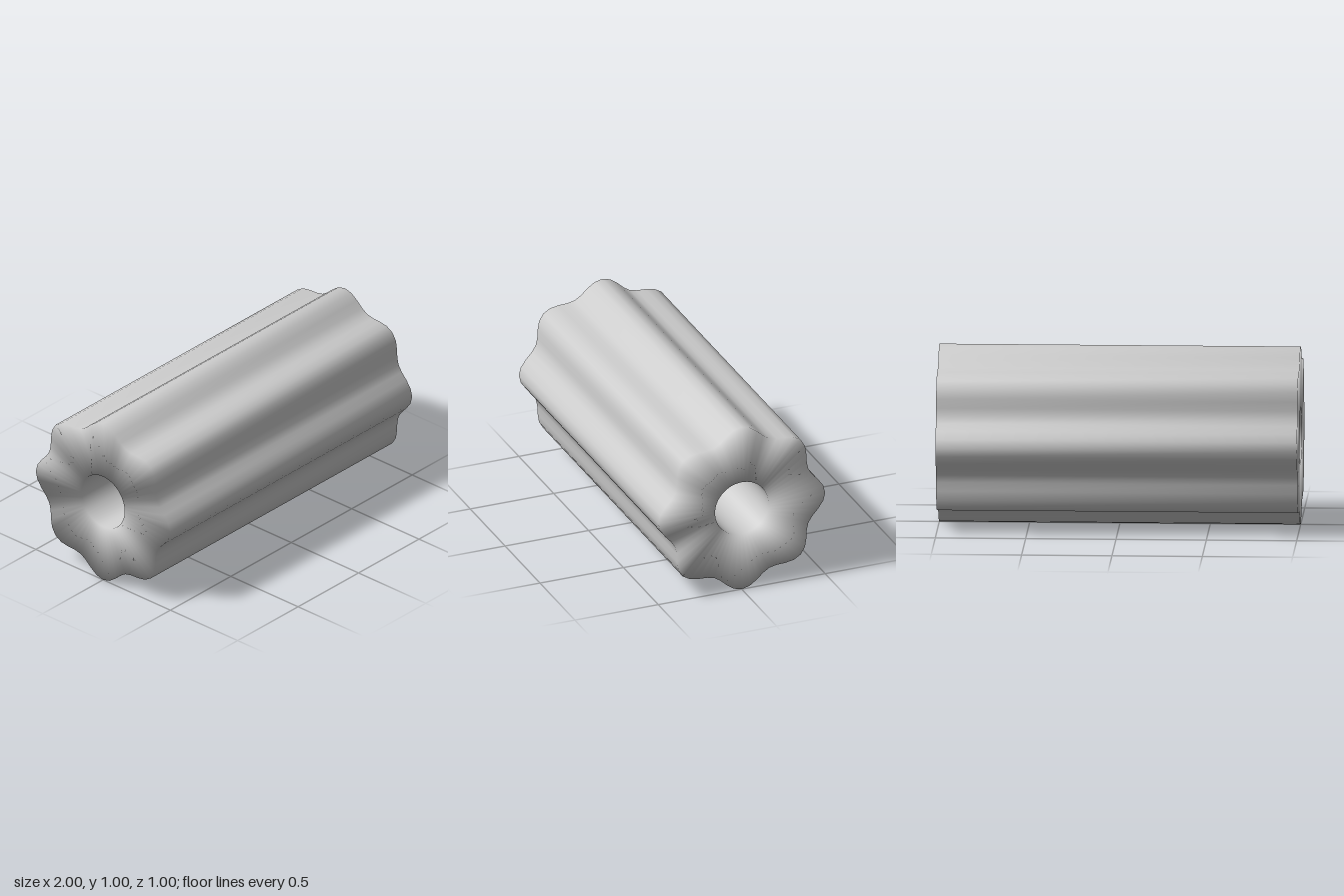
import * as THREE from 'three';

const SEGMENTS = 64; // eight steps per lobe
const LOBES = 8;
const HOLE_RADIUS = 0.16;

const lobedRadius = (a) => 0.466 + 0.034 * Math.cos(LOBES * a);
const holeRadius = () => HOLE_RADIUS;

// Four rings, joined in a closed loop: outer wall, right end, bore, left end
const RINGS = [
  { x: -1, radius: lobedRadius },
  { x: 1, radius: lobedRadius },
  { x: 1, radius: holeRadius },
  { x: -1, radius: holeRadius },
];

function flutedTubeGeometry() {
  const positions = [];
  const indices = [];
  for (const { x, radius } of RINGS) {
    for (let i = 0; i < SEGMENTS; i++) {
      const a = (i / SEGMENTS) * Math.PI * 2;
      positions.push(x, radius(a) * Math.cos(a), radius(a) * Math.sin(a));
    }
  }
  for (let r = 0; r < RINGS.length; r++) {
    const here = r * SEGMENTS;
    const next = ((r + 1) % RINGS.length) * SEGMENTS;
    for (let i = 0; i < SEGMENTS; i++) {
      const j = (i + 1) % SEGMENTS;
      indices.push(here + i, here + j, next + i, here + j, next + j, next + i);
    }
  }
  const geometry = new THREE.BufferGeometry();
  geometry.setAttribute('position', new THREE.Float32BufferAttribute(positions, 3));
  geometry.setIndex(indices);
  // Shared corners keep the shading soft over the rims
  geometry.computeVertexNormals();
  return geometry;
}

export function createModel() {
  const lightGrey = new THREE.MeshStandardMaterial({ color: 0xcccccc });
  lightGrey.name = 'light grey';

  const tube = new THREE.Mesh(flutedTubeGeometry(), lightGrey);
  tube.name = 'flutedTube';
  tube.position.y = 0.5;

  const model = new THREE.Group();
  model.name = 'flutedRoller';
  model.add(tube);
  return model;
}
